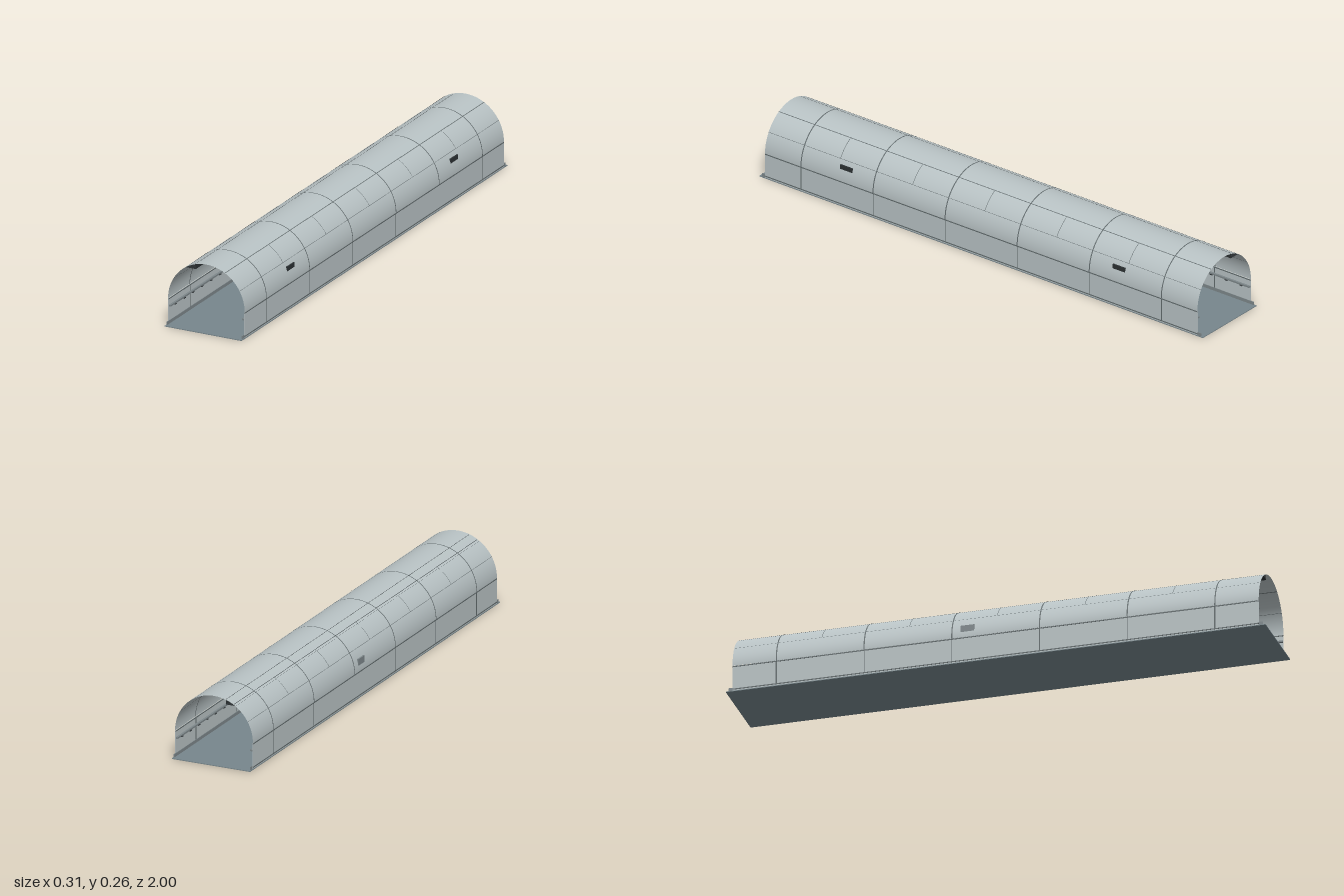
import * as THREE from 'three';

const mat = (name, color, side = THREE.FrontSide) => {
  const m = new THREE.MeshStandardMaterial({ color, side });
  m.name = name;
  return m;
};

export function createModel() {
  const group = new THREE.Group();
  const shell = mat('pale shell grey', 0xb8c2c4, THREE.DoubleSide);
  const seam = mat('seam grey', 0x626b6d, THREE.DoubleSide);
  const floorGrey = mat('floor blue grey', 0x77868c);
  const steel = mat('rail steel', 0x7d878a);
  const dark = mat('dark metal', 0x2c3133);

  const R = 0.1545, CY = 0.1, HALF = 0.975, WALL = 0.153;

  function add(parent, name, geometry, material, x = 0, y = 0, z = 0) {
    const mesh = new THREE.Mesh(geometry, material);
    mesh.name = name;
    mesh.position.set(x, y, z);
    parent.add(mesh);
    return mesh;
  }
  const box = (parent, name, w, h, d, m, x, y, z) =>
    add(parent, name, new THREE.BoxGeometry(w, h, d), m, x, y, z);

  // Curved sheet along z; angles in degrees from +x over the crown
  function arcSheet(name, r, a0, a1, z0, z1, material) {
    const n = Math.max(1, Math.ceil((a1 - a0) / 3));
    const g = new THREE.PlaneGeometry(1, 1, n, 1);
    const p = g.attributes.position, normal = g.attributes.normal;
    for (let i = 0; i < p.count; i++) {
      const t = THREE.MathUtils.degToRad(a1 + (a0 - a1) * (p.getX(i) + 0.5));
      const c = Math.cos(t), s = Math.sin(t);
      p.setXYZ(i, r * c, CY + r * s, p.getY(i) > 0 ? z0 : z1);
      normal.setXYZ(i, c, s, 0);
    }
    add(group, name, g, material);
  }
  // Seams show on both faces of the vault
  function arcSeam(name, a0, a1, z0, z1) {
    for (const d of [0.0006, -0.0006]) arcSheet(name, R + d, a0, a1, z0, z1, seam);
  }

  // Floor slab, vault and side walls
  box(group, 'floor', 0.31, 0.003, 2, floorGrey, 0, 0.0015, 0);
  arcSheet('vault', R, 0, 180, -HALF, HALF, shell);
  for (const s of [-1, 1]) {
    box(group, 'sideWall', 0.0016, 0.098, HALF * 2, shell, s * WALL, 0.051, 0);
    box(group, 'eaveSeam', 0.003, 0.004, HALF * 2, seam, s * WALL, 0.097, 0);
    box(group, 'kerb', 0.003, 0.012, 1.98, steel, s * 0.1515, 0.009, 0);
    box(group, 'baseSeam', 0.003, 0.004, HALF * 2, seam, s * (WALL + 0.0002), 0.009, 0);
    // Upright panel joints
    for (const z of [-0.8125, -0.4875, -0.1625, 0.1625, 0.4875, 0.8125]) {
      const wide = Math.abs(z) > 0.8 ? 0.005 : 0.002;
      box(group, 'wallJoint', 0.0024, 0.09, wide, seam, s * WALL, 0.052, z);
    }
    // Handrail with small brackets
    box(group, 'handrail', 0.008, 0.006, HALF * 2, steel, s * 0.1475, 0.072, 0);
    for (let i = -14; i <= 14; i++) {
      box(group, 'handrailBracket', 0.01, 0.003, 0.012, dark, s * 0.147, 0.068, i * 0.067);
    }
  }

  // Ring joints: main ones over the whole arch, finer staggered ones on the flanks
  for (let i = -3; i < 3; i++) {
    const z = (i + 0.5) * 0.325;
    arcSeam('ringJoint', 0, 180, z - 0.0022, z + 0.0022);
  }
  for (let i = -2; i <= 2; i++) {
    const z = i * 0.325;
    arcSeam('fineRingJoint', 30, 60, z - 0.001, z + 0.001);
    arcSeam('fineRingJoint', 120, 150, z - 0.001, z + 0.001);
  }
  // Lengthwise joints
  arcSeam('longJoint', 60.5, 61.5, -HALF, HALF);
  for (const a of [30, 150]) arcSeam('fineLongJoint', a - 0.25, a + 0.25, -HALF, HALF);

  // Cable tray under the crown
  const tray = new THREE.Group();
  tray.name = 'cableTray';
  group.add(tray);
  box(tray, 'trayBase', 0.04, 0.0015, 1.94, dark, -0.065, 0.2285, 0);
  box(tray, 'traySide', 0.0015, 0.0195, 1.94, dark, -0.0455, 0.238, 0);
  for (let i = 0; i < 4; i++) {
    const cable = add(tray, 'cable', new THREE.CylinderGeometry(0.0015, 0.0015, 1.94, 8),
      dark, -0.077 + i * 0.0078, 0.2325, 0);
    cable.rotation.x = Math.PI / 2;
  }

  // Louvred vents through the +x flank
  for (const z of [-0.615, 0.615]) {
    const vent = new THREE.Group();
    vent.name = 'vent';
    vent.position.set(0.143, 0.147, z);
    group.add(vent);
    box(vent, 'ventBack', 0.007, 0.027, 0.056, dark, 0.0015, 0, 0);
    for (let i = 0; i < 6; i++) {
      box(vent, 'ventSlat', 0.004, 0.0022, 0.052, dark, -0.004, -0.0115 + i * 0.0046, 0);
    }
  }

  // Wall cabinet on the -x side
  const cabinet = new THREE.Group();
  cabinet.name = 'cabinet';
  cabinet.position.set(-0.145, 0.116, -0.105);
  group.add(cabinet);
  box(cabinet, 'cabinetBody', 0.014, 0.06, 0.05, steel, -0.001, 0, 0);
  box(cabinet, 'cabinetDoor', 0.002, 0.056, 0.046, dark, 0.007, 0, 0);

  return group;
}
